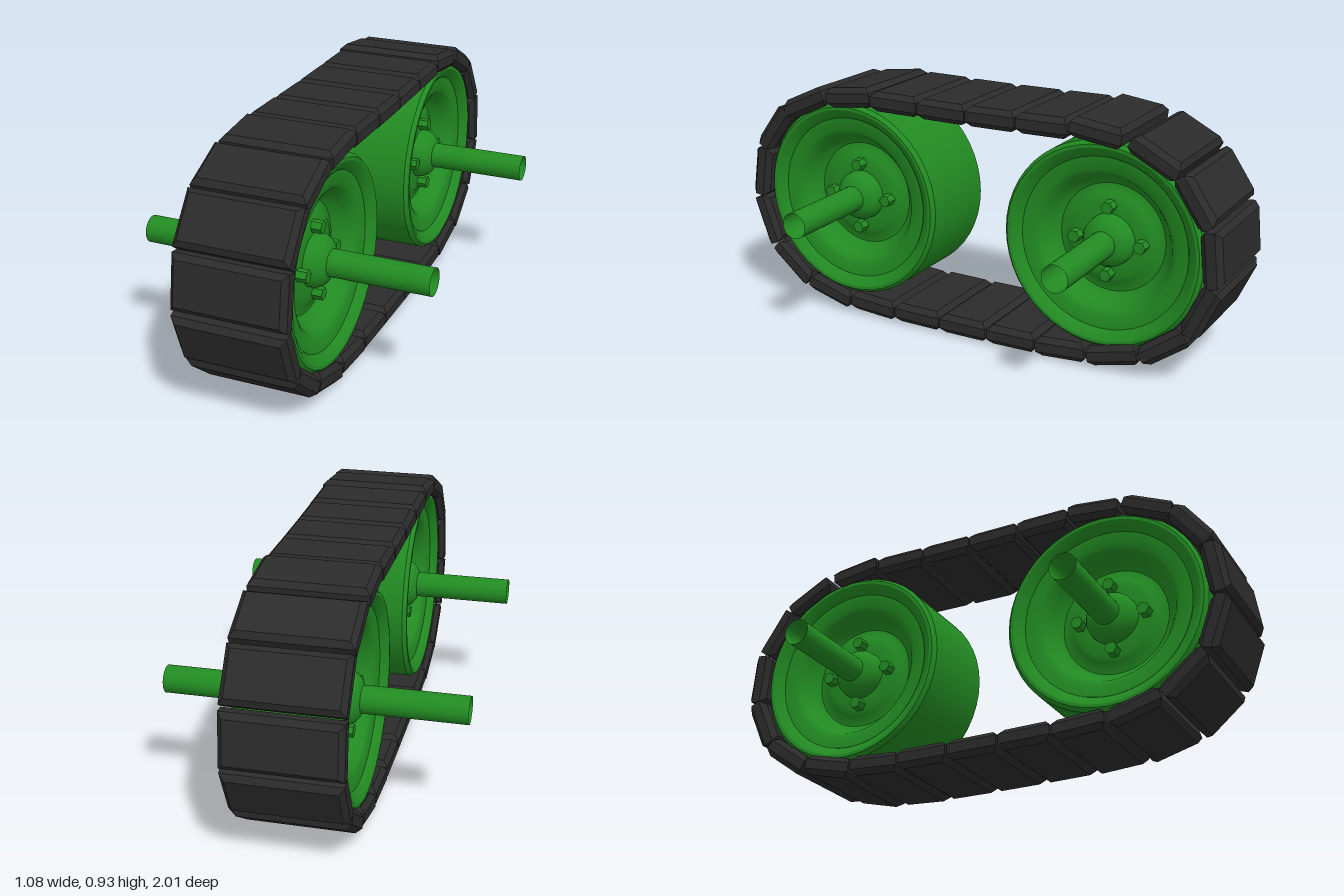
import * as THREE from 'three';
import { toCreasedNormals } from 'three/addons/utils/BufferGeometryUtils.js';

const green = new THREE.MeshStandardMaterial({ color: 0x228b22 });
const greenOpen = new THREE.MeshStandardMaterial({ color: 0x228b22, side: THREE.DoubleSide });
const rubber = new THREE.MeshStandardMaterial({ color: 0x2b2b2b });

const AXLE_Y = 0.468, AXLE_Z = 0.537;

// Centres of the track links as [z, y], in order around the loop
const LINKS = [
  [0.517, 0.882], [0.311, 0.882], [0.104, 0.878], [-0.101, 0.878], [-0.308, 0.88], [-0.517, 0.882],
  [-0.736, 0.823], [-0.886, 0.689], [-0.956, 0.496], [-0.924, 0.298], [-0.795, 0.142], [-0.603, 0.066],
  [-0.396, 0.043], [-0.19, 0.04], [0.017, 0.04], [0.224, 0.042], [0.431, 0.046], [0.638, 0.07],
  [0.822, 0.157], [0.94, 0.324], [0.956, 0.528], [0.881, 0.716], [0.726, 0.836],
];

// Half profile of a wheel as [radius, x], from hub dome out to the tread
const HALF = [
  [0, 0.178], [0.035, 0.174], [0.065, 0.162], [0.085, 0.146], [0.096, 0.125], [0.098, 0.1],
  [0.145, 0.098], [0.165, 0.09], [0.185, 0.078], [0.205, 0.075], [0.222, 0.085], [0.24, 0.115],
  [0.258, 0.145], [0.275, 0.155], [0.323, 0.16], [0.328, 0.168], [0.36, 0.188], [0.372, 0.188], [0.385, 0.172],
];

function wheelGeometry() {
  const right = HALF.map(([r, x]) => new THREE.Vector2(r, -x));
  const left = HALF.map(([r, x]) => new THREE.Vector2(r, x)).reverse();
  const g = new THREE.LatheGeometry([...right, ...left], 48);
  g.rotateZ(-Math.PI / 2);
  return toCreasedNormals(g, 0.55);
}

// Flat block with bevelled edges all round
function linkGeometry() {
  const w = 0.382 / 2, l = 0.162 / 2;
  const s = new THREE.Shape();
  s.moveTo(-w, -l).lineTo(w, -l).lineTo(w, l).lineTo(-w, l).closePath();
  const g = new THREE.ExtrudeGeometry(s, {
    depth: 0.037, bevelEnabled: true, bevelSegments: 1, bevelSize: 0.019, bevelThickness: 0.02,
  });
  g.center();
  g.rotateX(-Math.PI / 2);
  return g;
}

export function createModel() {
  const model = new THREE.Group();
  model.name = 'trackUnit';

  const add = (parent, geometry, material, name) => {
    const mesh = new THREE.Mesh(geometry, material);
    mesh.name = name;
    parent.add(mesh);
    return mesh;
  };

  // Wheels, each with its axle and four bolts per side
  const wheelGeo = wheelGeometry();
  const axleGeo = new THREE.CylinderGeometry(0.05, 0.05, 1.084, 32, 1, true).rotateZ(Math.PI / 2);
  const boltGeo = toCreasedNormals(new THREE.CylinderGeometry(0.024, 0.024, 0.045, 6), 0.3);
  boltGeo.rotateZ(Math.PI / 2);
  for (const end of [1, -1]) {
    const assembly = new THREE.Group();
    assembly.name = end > 0 ? 'frontWheel' : 'rearWheel';
    assembly.position.set(0, AXLE_Y, end * AXLE_Z);
    add(assembly, wheelGeo, green, 'wheel');
    add(assembly, axleGeo, greenOpen, 'axle');
    for (const side of [1, -1]) {
      for (let i = 0; i < 4; i++) {
        const a = i * Math.PI / 2;
        add(assembly, boltGeo, green, 'bolt')
          .position.set(side * 0.115, Math.sin(a) * 0.128, Math.cos(a) * 0.128);
      }
    }
    model.add(assembly);
  }

  // Track links, each turned along the line between its neighbours
  const track = new THREE.Group();
  track.name = 'track';
  const linkGeo = linkGeometry();
  const n = LINKS.length;
  LINKS.forEach(([z, y], i) => {
    const [z0, y0] = LINKS[(i + n - 1) % n];
    const [z1, y1] = LINKS[(i + 1) % n];
    const link = add(track, linkGeo, rubber, 'trackLink');
    link.position.set(0, y, z);
    link.rotation.x = Math.atan2(y0 - y1, z1 - z0);
  });
  model.add(track);

  return model;
}
